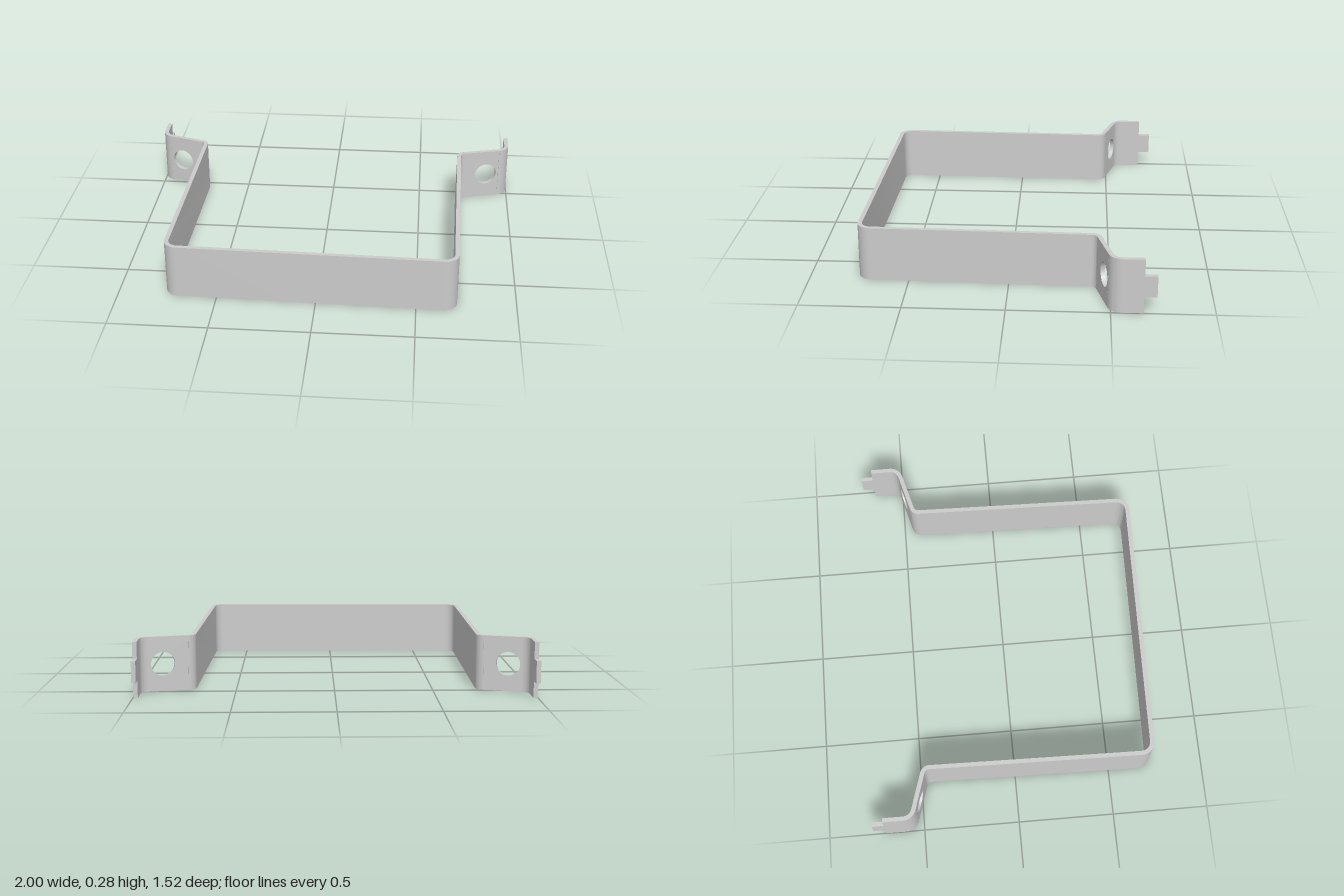
import * as THREE from 'three';
import { toCreasedNormals } from 'three/addons/utils/BufferGeometryUtils.js';

const HEIGHT = 0.28, THICK = 0.022, HOLE_R = 0.061;
const TAB_LOW = 0.085, TAB_HIGH = 0.195;
const material = new THREE.MeshStandardMaterial({ color: 0xcccccc });
const V = (x, z) => new THREE.Vector2(x, z);

// Points of a rounded bend at corner c between points a and b (plan view)
function bend(a, c, b, r, steps = 10) {
  const da = a.clone().sub(c).normalize(), db = b.clone().sub(c).normalize();
  const half = Math.acos(da.dot(db)) / 2;
  const centre = da.clone().add(db).normalize().multiplyScalar(r / Math.sin(half)).add(c);
  const start = c.clone().addScaledVector(da, r / Math.tan(half));
  const end = c.clone().addScaledVector(db, r / Math.tan(half));
  const a0 = start.clone().sub(centre).angle();
  let sweep = end.clone().sub(centre).angle() - a0;
  if (sweep > Math.PI) sweep -= 2 * Math.PI;
  if (sweep < -Math.PI) sweep += 2 * Math.PI;
  return Array.from({ length: steps + 1 }, (_, i) => {
    const t = a0 + sweep * i / steps;
    return V(centre.x + r * Math.cos(t), centre.y + r * Math.sin(t));
  });
}

// Upright strip of constant thickness along a plan path
function ribbon(name, path) {
  const sides = [[], []];
  path.forEach((p, i) => {
    const before = path[Math.max(i - 1, 0)], after = path[Math.min(i + 1, path.length - 1)];
    const d1 = p.clone().sub(before).normalize(), d2 = after.clone().sub(p).normalize();
    const d = d1.clone().add(d2).normalize();
    const k = THICK / 2 / Math.max(d.dot(i ? d1 : d2), 0.5);
    sides[0].push(V(p.x - d.y * k, -(p.y + d.x * k)));
    sides[1].unshift(V(p.x + d.y * k, -(p.y - d.x * k)));
  });
  const shape = new THREE.Shape([...sides[0], ...sides[1]]);
  const geo = new THREE.ExtrudeGeometry(shape, { depth: HEIGHT, bevelEnabled: false });
  geo.rotateX(-Math.PI / 2);
  const mesh = new THREE.Mesh(toCreasedNormals(geo, 0.5), material);
  mesh.name = name;
  return mesh;
}

// Flat upright plate from p to q, optionally with a round hole at x = holeX
function plate(name, p, q, low, high, holeX) {
  const length = p.distanceTo(q);
  const shape = new THREE.Shape([V(0, low), V(length, low), V(length, high), V(0, high)]);
  if (holeX !== undefined) {
    const u = length * (holeX - p.x) / (q.x - p.x);
    shape.holes.push(new THREE.Path().absarc(u, HEIGHT / 2, HOLE_R, 0, Math.PI * 2, true));
  }
  const geo = new THREE.ExtrudeGeometry(shape, { depth: THICK, bevelEnabled: false, curveSegments: 32 });
  geo.translate(0, 0, -THICK / 2);
  const mesh = new THREE.Mesh(toCreasedNormals(geo, 0.5), material);
  mesh.rotation.y = -Math.atan2(q.y - p.y, q.x - p.x);
  mesh.position.set(p.x, 0, p.y);
  mesh.name = name;
  return mesh;
}

export function createModel() {
  const group = new THREE.Group();
  group.name = 'strapBracket';

  // Centre line corners, from the right end round to the left end
  const c = [
    V(-0.989, -0.70), V(-0.989, -0.552), V(-0.733, -0.473), V(-0.753, 0.714),
    V(0.692, 0.747), V(0.717, -0.437), V(0.987, -0.508), V(0.987, -0.657),
  ];
  const radii = [0, 0.06, 0.038, 0.06, 0.06, 0.038, 0.06, 0];
  const bends = c.map((p, i) => radii[i] ? bend(c[i - 1], p, c[i + 1], radii[i]) : [p]);

  // U-shaped strap and the two turned-back ends
  group.add(ribbon('strap', [...bends[2], ...bends[3], ...bends[4], ...bends[5]]));
  group.add(ribbon('rightEnd', [...bends[0], ...bends[1]]));
  group.add(ribbon('leftEnd', [...bends[6], ...bends[7]]));

  // Flanges with screw holes
  group.add(plate('rightFlange', bends[1].at(-1), bends[2][0], 0, HEIGHT, -0.88));
  group.add(plate('leftFlange', bends[5].at(-1), bends[6][0], 0, HEIGHT, 0.87));

  // Narrow tabs at the tips
  group.add(plate('rightTab', c[0], V(-0.989, -0.763), TAB_LOW, TAB_HIGH));
  group.add(plate('leftTab', c[7], V(0.987, -0.719), TAB_LOW, TAB_HIGH));
  return group;
}
